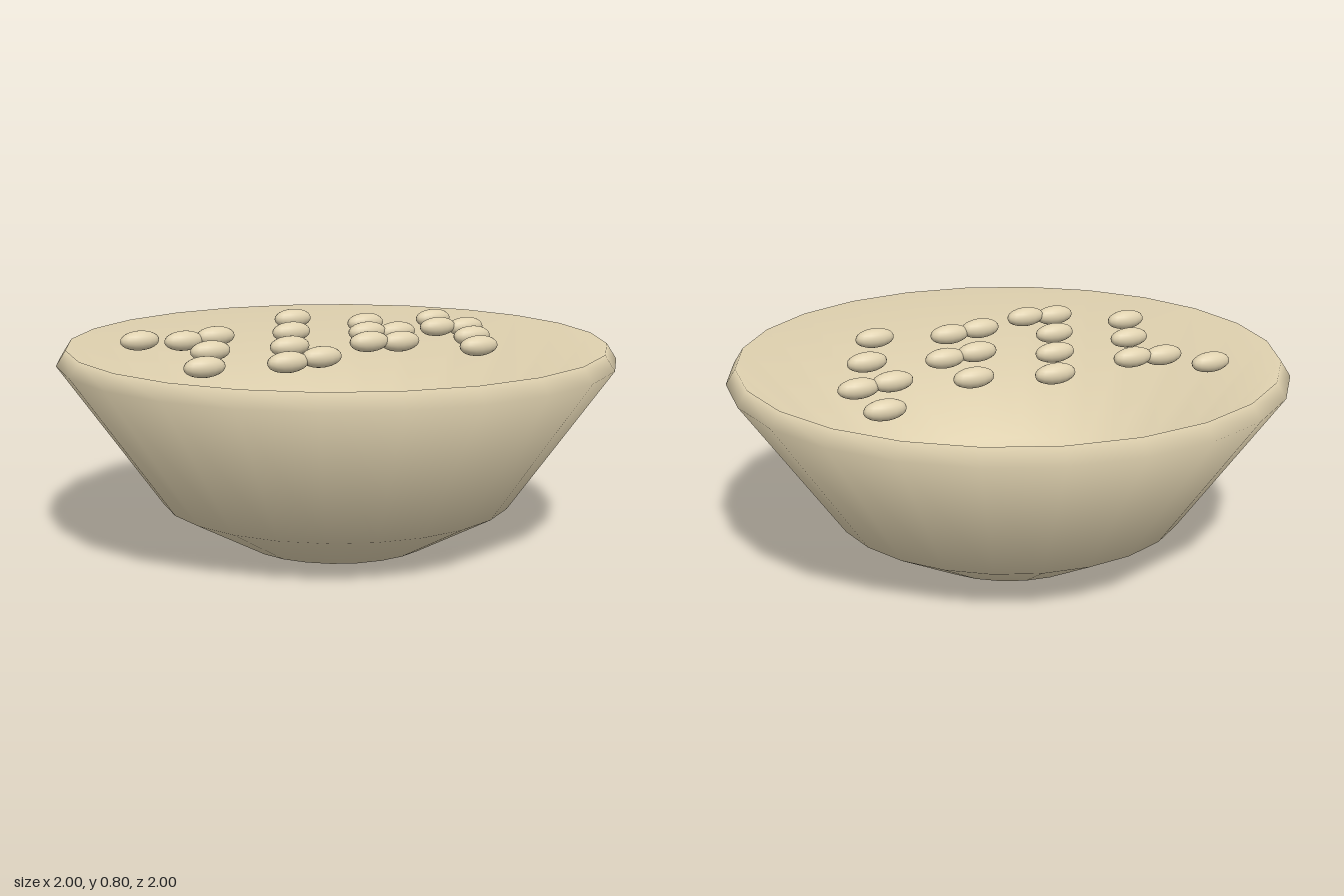
import * as THREE from 'three';

// Lathe whose smooth normals weigh both neighbouring bands equally, whatever their length
function evenLathe(profile, segments) {
  const geometry = new THREE.LatheGeometry(profile, segments);
  const bands = profile.slice(1).map((p, i) => {
    const d = p.clone().sub(profile[i]);
    return new THREE.Vector2(d.y, -d.x).normalize();
  });
  const last = profile.length - 1;
  const normals = profile.map((_, i) => {
    if (i === 0 || i === last) return new THREE.Vector2(0, i === 0 ? -1 : 1);
    return bands[i - 1].clone().add(bands[i]).normalize();
  });
  const attribute = geometry.attributes.normal;
  for (let k = 0; k < attribute.count; k++) {
    const angle = Math.floor(k / profile.length) / segments * Math.PI * 2;
    const n = normals[k % profile.length];
    attribute.setXYZ(k, n.x * Math.sin(angle), n.y, n.x * Math.cos(angle));
  }
  return geometry;
}

export function createModel() {
  const model = new THREE.Group();
  const clay = new THREE.MeshStandardMaterial({ color: 0xdfd1af });
  clay.name = 'pale clay';

  // Bowl: base, outer wall, lip, then down the inside wall to a shallow floor
  const profile = [
    [0, 0], [0.345, 0], [0.635, 0.158], [1, 0.675], [0.965, 0.73],
    [0.52, 0.23], [0, 0.165],
  ].map(([r, y]) => new THREE.Vector2(r, y));
  const bowl = new THREE.Mesh(evenLathe(profile, 24), clay);
  bowl.name = 'bowl';
  model.add(bowl);

  // Grains: grid columns filled in each row, from back to front
  const step = 0.123;
  const rows = [
    [-5, 0, 5], [-4, -3, 2], [-1, 4, 5], [-4, 1, 2], [-2, 4], [-5, 0, 1], [-3, -2, 3],
  ];
  const grainGeometry = new THREE.SphereGeometry(1, 16, 12).scale(0.075, 0.036, 0.036);
  const grains = new THREE.Group();
  grains.name = 'grains';
  rows.forEach((columns, row) => {
    for (const column of columns) {
      const grain = new THREE.Mesh(grainGeometry, clay);
      grain.name = 'grain';
      const x = column * step;
      grain.position.set(x, 0.764 - 0.065 * Math.abs(x), (row - 3) * step);
      grains.add(grain);
    }
  });
  model.add(grains);

  return model;
}
